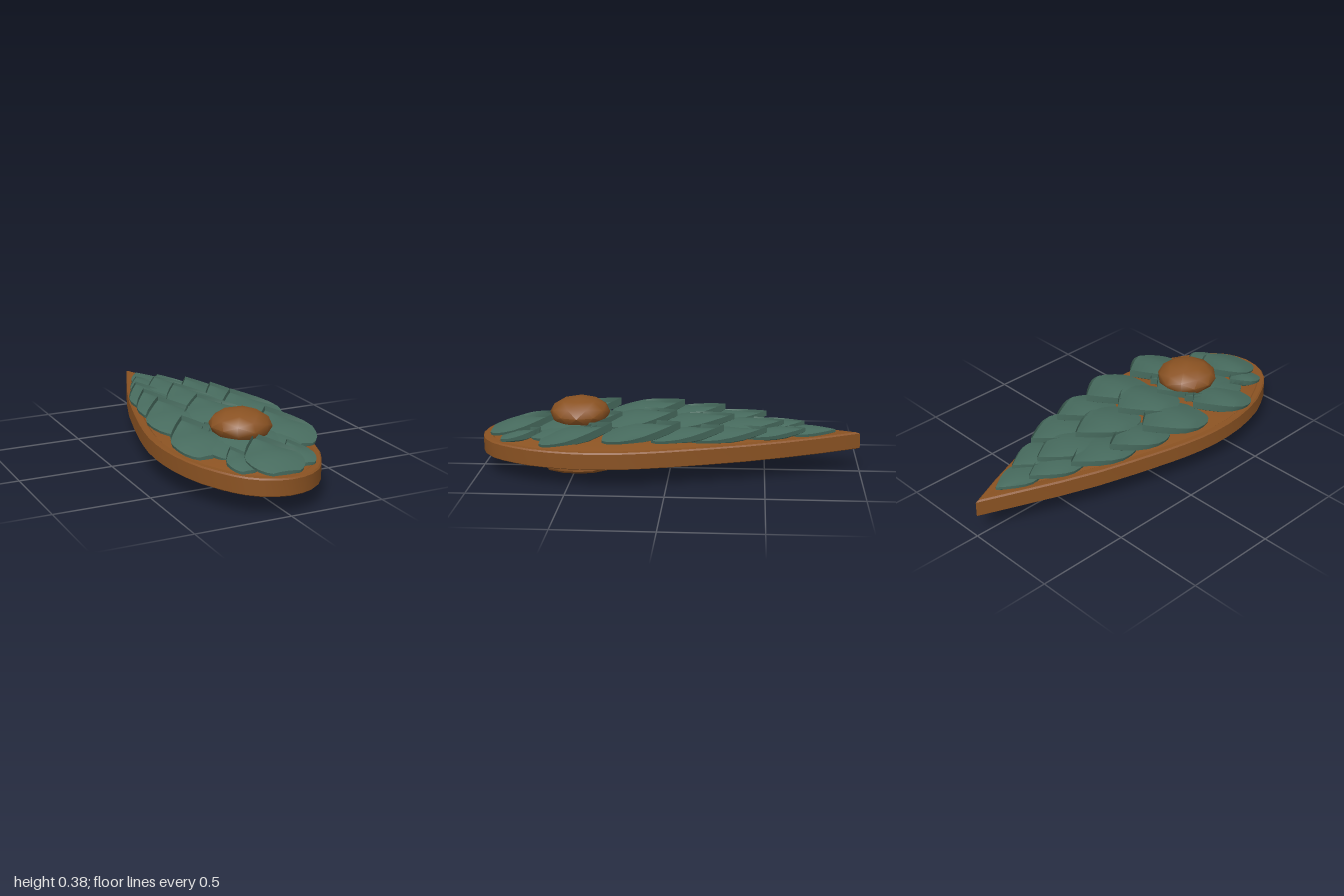
import * as THREE from 'three';
import { toCreasedNormals } from 'three/addons/utils/BufferGeometryUtils.js';

// Skin a list of closed rings (equal point counts) into one surface
function loft(rings, crease) {
  const n = rings[0].length, index = [];
  for (let i = 0; i < rings.length - 1; i++) {
    for (let j = 0; j < n; j++) {
      const a = i * n + j, b = i * n + (j + 1) % n;
      index.push(a, b, a + n, b, b + n, a + n);
    }
  }
  const geo = new THREE.BufferGeometry();
  geo.setAttribute('position', new THREE.Float32BufferAttribute(rings.flat(2), 3));
  geo.setIndex(index);
  return toCreasedNormals(geo, crease);
}

// Teardrop board with a raised rim and a gently domed face
function boardGeometry() {
  const half = [[0.07, 0.983], [0.13, 0.96], [0.195, 0.912], [0.24, 0.857], [0.28, 0.79], [0.325, 0.7],
    [0.356, 0.6], [0.376, 0.5], [0.386, 0.4], [0.387, 0.3], [0.379, 0.2], [0.363, 0.1], [0.342, 0],
    [0.292, -0.2], [0.236, -0.4], [0.166, -0.6], [0.086, -0.8]];
  const outline = [[0, 0.993], ...half, [-0.005, -1], ...half.map(([x, z]) => [-x, z]).reverse()];
  const ring = (sx, sz, y) => outline.map(([x, z]) => [x * sx, y, 0.45 + (z - 0.45) * sz]);
  return loft([
    ring(0, 0, 0.108), ring(0.98, 0.99, 0.106), ring(1, 1, 0.111),
    ring(1, 1, 0.189), ring(0.98, 0.985, 0.196), ring(0.92, 0.92, 0.197), ring(0.9, 0.9, 0.19),
    ring(0.7, 0.75, 0.215), ring(0.4, 0.45, 0.236), ring(0, 0, 0.246),
  ], 0.6);
}

// Leaf-shaped scale: blunt low base towards +z, raised point towards -z,
// with a thin lip standing along the two rear edges
const leaf = [[0, 0.48], [0.05, 0.66], [0.14, 0.83], [0.26, 0.95], [0.4, 1],
  [0.55, 0.88], [0.7, 0.64], [0.85, 0.34], [0.95, 0.12], [1, 0]];
function scaleGeometry(w, length, y0, y1) {
  const across = [-0.96, -0.66, -0.33, 0, 0.33, 0.66, 0.96];
  const lipHeight = Math.min(0.026, (y1 - y0) * 0.3);
  const section = (s, width) => {
    const rim = y0 + (y1 - y0) * Math.pow(s, 1.1);
    const lip = lipHeight * THREE.MathUtils.smoothstep(s, 0.3, 0.75);
    const arch = w * 0.14 * Math.sin(Math.PI * (0.08 + 0.92 * s));
    const belly = 0.028 * Math.sin(Math.PI * s);
    const z = length * (0.4 - s);
    const point = (u, y) => [u * width, y, z];
    const top = across.map(u => point(u, rim - lip + arch * (1 - u * u)));
    const bottom = across.map(u => point(-u, rim - lip - 0.014 - belly * (1 - u * u)));
    return [point(-1, rim), ...top, point(1, rim), ...bottom];
  };
  return loft([section(0, 0), ...leaf.map(([s, k]) => section(s, w * k))], 0.7);
}

// U-shaped grip: stations of centre y, z, outward direction y, z and half thickness
function gripGeometry() {
  const front = [[0.13, 0.132, 0, 1, 0.042], [0.085, 0.132, 0, 1, 0.042],
    [0.052, 0.124, -0.7, 0.7, 0.042], [0.034, 0.08, -1, 0, 0.027], [0.03, 0, -1, 0, 0.027]];
  const back = front.slice(0, -1).reverse().map(([y, z, ny, nz, h]) => [y, -z, ny, -nz, h]);
  return loft([...front, ...back].map(([y, z, ny, nz, h]) =>
    Array.from({ length: 8 }, (_, i) => {
      const a = (i + 0.5) * Math.PI / 4, out = Math.sin(a) * h * 1.08;
      return [Math.cos(a) * 0.037, y + ny * out, z + nz * out];
    })), 0.9);
}

export function createModel() {
  const model = new THREE.Group();
  model.name = 'shield';
  const wood = new THREE.MeshStandardMaterial({ color: 0x8a5222 });
  wood.name = 'brown wood';
  const green = new THREE.MeshStandardMaterial({ color: 0x476b5e });
  green.name = 'grey green';

  const body = new THREE.Group();
  body.name = 'shieldBody';
  body.rotation.set(0.012, 0, -0.025);
  body.position.set(-0.004, 0.003, 0);
  model.add(body);

  const add = (name, geo, mat, parent = body) => {
    const mesh = new THREE.Mesh(geo, mat);
    mesh.name = name;
    parent.add(mesh);
    return mesh;
  };

  add('board', boardGeometry(), wood);

  // Scales: x, tip z, half width, length, base height, tip height (x > 0 is mirrored)
  const scales = new THREE.Group();
  scales.name = 'scales';
  body.add(scales);
  [
    [0, 0.61, 0.15, 0.335, 0.21, 0.297],
    [0.155, 0.66, 0.078, 0.21, 0.21, 0.265],
    [0, 0.25, 0.2, 0.46, 0.226, 0.305],
    [0.13, 0.33, 0.13, 0.38, 0.22, 0.285],
    [0.237, 0.28, 0.155, 0.37, 0.222, 0.316],
    [0, -0.04, 0.17, 0.37, 0.252, 0.316],
    [0.212, -0.07, 0.167, 0.4, 0.236, 0.315],
    [0, -0.34, 0.14, 0.4, 0.245, 0.297],
    [0.2, -0.29, 0.125, 0.37, 0.228, 0.295],
    [0, -0.6, 0.13, 0.38, 0.23, 0.265],
    [0.152, -0.51, 0.13, 0.4, 0.22, 0.27],
    [0.065, -0.71, 0.112, 0.33, 0.214, 0.24],
    [0, -0.87, 0.09, 0.27, 0.21, 0.214],
  ].forEach(([x, tip, w, length, y0, y1]) => {
    const geo = scaleGeometry(w, length, y0, y1);
    for (const px of x ? [x, -x] : [0]) {
      add('scale', geo, green, scales).position.set(px, 0, tip + length * 0.6);
    }
  });

  // Faceted, flattened ball as the boss
  const ball = new THREE.IcosahedronGeometry(1, 1).scale(0.16, 0.082, 0.16);
  ball.deleteAttribute('uv');
  add('boss', toCreasedNormals(ball, 1), wood).position.set(-0.006, 0.303, 0.475);

  // Two grips on the underside
  const gripGeo = gripGeometry();
  [-0.148, 0.131].forEach(x => {
    add('handle', gripGeo, wood).position.set(x, 0.003, 0.478);
  });

  return model;
}
